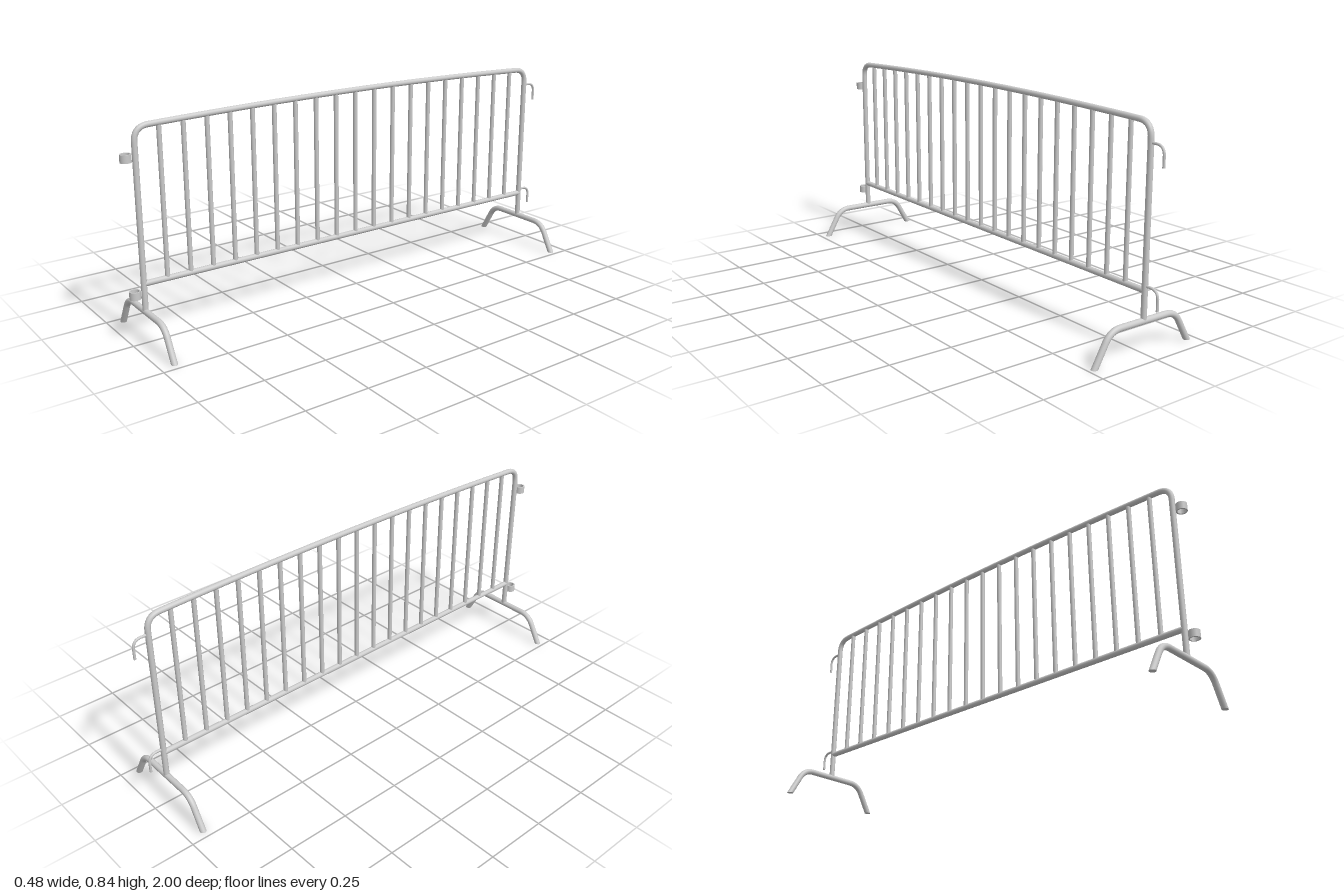
import * as THREE from 'three';
import { mergeGeometries } from 'three/addons/utils/BufferGeometryUtils.js';

const V = (x, y, z) => new THREE.Vector3(x, y, z);
const steel = new THREE.MeshStandardMaterial({ color: 0xcccccc, side: THREE.DoubleSide });

const FRONT = 0.942, BACK = -0.933, MID = (FRONT + BACK) / 2;
const TUBE = 0.011, BAR = 0.009, LEG = 0.012;

// Straight runs joined by rounded corners; corners = [point, setback] pairs
function roundedPath(start, corners, end) {
  const path = new THREE.CurvePath();
  let from = start;
  corners.forEach(([p, setback], i) => {
    const next = i + 1 < corners.length ? corners[i + 1][0] : end;
    const prev = i > 0 ? corners[i - 1][0] : start;
    const a = p.clone().add(prev.clone().sub(p).setLength(setback));
    const b = p.clone().add(next.clone().sub(p).setLength(setback));
    path.add(new THREE.LineCurve3(from, a));
    path.add(new THREE.QuadraticBezierCurve3(a, p, b));
    from = b;
  });
  path.add(new THREE.LineCurve3(from, end));
  return path;
}

export function createModel() {
  const model = new THREE.Group();

  function add(name, geometry, x = 0, y = 0, z = 0) {
    const mesh = new THREE.Mesh(geometry, steel);
    mesh.name = name;
    mesh.position.set(x, y, z);
    model.add(mesh);
    return mesh;
  }

  // Height of the gently arched top rail
  const railY = z => 0.825 - 0.018 * ((z - MID) / 0.88) ** 2;

  // Outer frame: two posts and the arched top rail in one bent tube
  const frame = roundedPath(V(0, 0.12, FRONT), [
    [V(0, 0.807, FRONT), 0.055],
    [V(0, 0.842, MID), 0.87],
    [V(0, 0.807, BACK), 0.055],
  ], V(0, 0.12, BACK));
  add('frame', new THREE.TubeGeometry(frame, 300, TUBE, 14));

  // Bottom rail
  const rail = new THREE.CylinderGeometry(TUBE, TUBE, FRONT - BACK, 14, 1, true).rotateX(Math.PI / 2);
  add('bottomRail', rail, 0, 0.229, MID);

  // Upright bars, evenly spaced between the posts
  const count = 19, step = (FRONT - BACK) / (count + 1);
  for (let i = 1; i <= count; i++) {
    const z = BACK + i * step, h = railY(z) - 0.229;
    add('bar', new THREE.CylinderGeometry(BAR, BAR, h, 12, 1, true), 0, 0.229 + h / 2, z);
  }

  // Splayed legs, with the feet cut level with the ground
  const slant = V(0.068, -0.12, 0).normalize();
  const rings = 72, sides = 14;
  for (const z of [FRONT, BACK]) {
    const path = roundedPath(V(-0.22, 0, 0),
      [[V(-0.152, 0.12, 0), 0.045], [V(0.152, 0.12, 0), 0.045]], V(0.22, 0, 0));
    const geo = new THREE.TubeGeometry(path, rings, LEG, sides);
    const pos = geo.attributes.position;
    for (const [ring, side] of [[0, -1], [rings, 1]]) {
      for (let j = 0; j <= sides; j++) {
        const k = ring * (sides + 1) + j;
        const slide = -pos.getY(k) / slant.y;
        pos.setX(k, pos.getX(k) + side * slant.x * slide);
        pos.setY(k, 0);
      }
      const foot = new THREE.CircleGeometry(LEG, sides).rotateX(Math.PI / 2);
      foot.scale(1 / -slant.y, 1, 1);
      add('footEnd', foot, side * 0.22, 0, z);
    }
    add('leg', geo, 0, 0, z);
  }

  // Coupling rings on the front post: hollow collars with crisp edges
  const profile = [[0.021, -0.015], [0.021, 0.015], [0.016, 0.015], [0.016, -0.015], [0.021, -0.015]]
    .map(p => new THREE.Vector2(...p));
  const collar = mergeGeometries([0, 1, 2, 3].map(i =>
    new THREE.LatheGeometry([profile[i], profile[i + 1]], 28)));
  for (const y of [0.701, 0.194]) add('couplingRing', collar, 0, y, 0.978);

  // Coupling hooks on the back post
  const HOOK = 0.005;
  for (const y of [0.738, 0.246]) {
    const path = roundedPath(V(0, y, BACK), [[V(0, y, -0.994), 0.035]], V(0, y - 0.075, -0.994));
    add('couplingHook', new THREE.TubeGeometry(path, 30, HOOK, 10));
    add('hookTip', new THREE.CircleGeometry(HOOK, 10).rotateX(Math.PI / 2), 0, y - 0.075, -0.994);
  }

  // Slight turn of the whole barrier
  model.rotation.y = -0.0047;
  return model;
}
